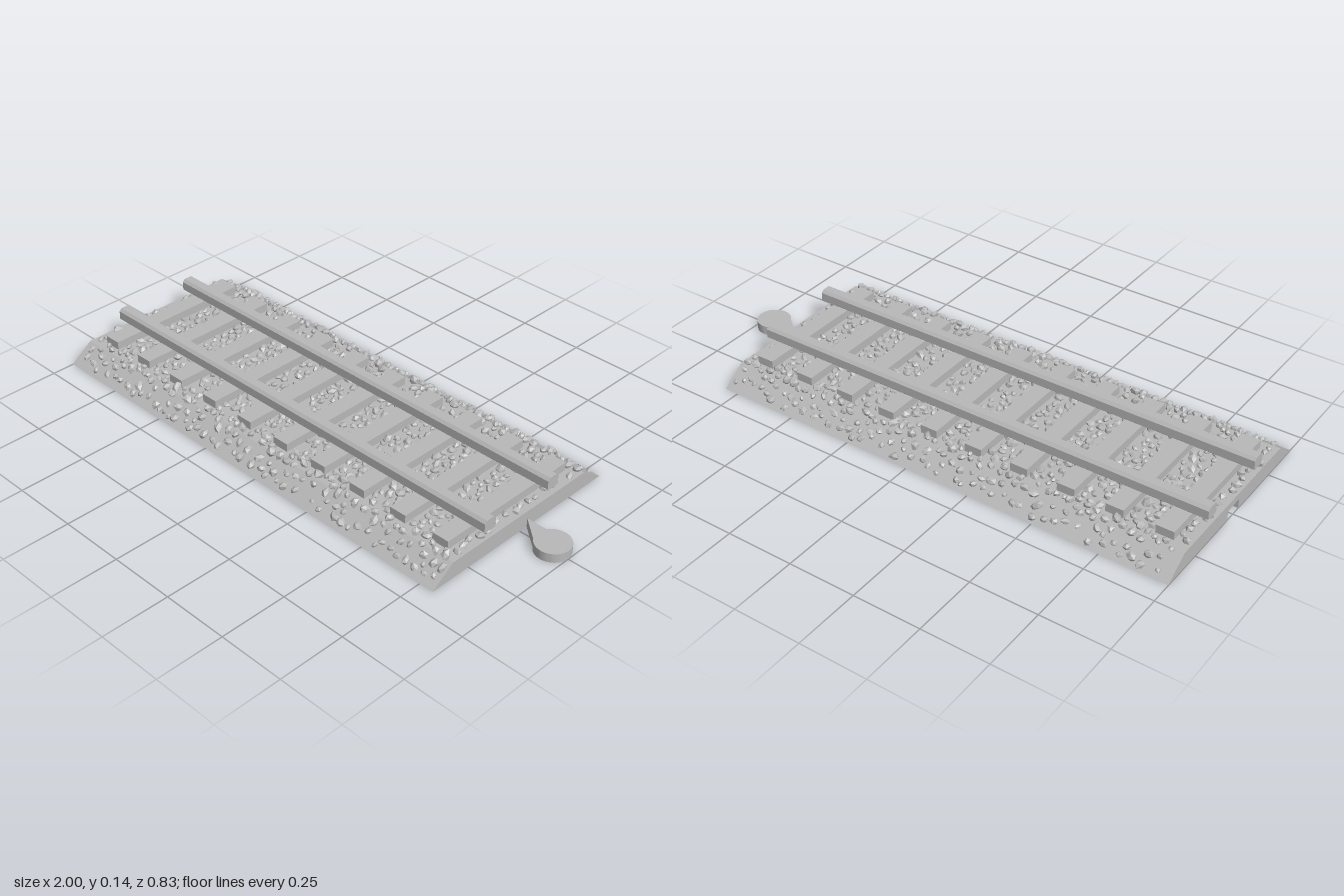
import * as THREE from 'three';
import { mergeGeometries, toCreasedNormals } from 'three/addons/utils/BufferGeometryUtils.js';

const X0 = -1, X1 = 0.805;            // ends of the track bed
const BASE = 0.008, TOP = 0.071;      // bed underside and deck
const HALF_BASE = 0.415, HALF_TOP = 0.325;
const SLEEPERS = 10, PITCH = 0.181, FIRST = -0.91, SLEEPER_W = 0.066, SLEEPER_HALF = 0.29;

// Half width of the sloping bed at height y
const halfWidth = (y) => HALF_BASE + (HALF_TOP - HALF_BASE) * (y - BASE) / (TOP - BASE);

// Small seeded random generator
function makeRandom(seed) {
  return () => {
    seed = (seed * 1664525 + 1013904223) % 4294967296;
    return seed / 4294967296;
  };
}

// Raise a plan shape (x, -z) into a slab between two heights
function slab(shape, y0, y1) {
  const g = new THREE.ExtrudeGeometry(shape, { depth: y1 - y0, bevelEnabled: false, curveSegments: 20 });
  g.rotateX(-Math.PI / 2);
  g.translate(0, y0, 0);
  return g;
}

// Bed layer: outer long edges lean in with height, with an optional socket in the end
function bedLayer(y0, y1, socket) {
  const s = new THREE.Shape();
  s.moveTo(X0, -HALF_BASE);
  s.lineTo(X1, -HALF_BASE);
  s.lineTo(X1, HALF_BASE);
  s.lineTo(X0, HALF_BASE);
  if (socket) {
    const r = 0.068, neck = 0.037, a = Math.PI - Math.asin(neck / r);
    s.lineTo(X0, neck);
    s.absarc(X0 + 0.132, 0, r, a, -a, true);
    s.lineTo(X0, -neck);
  }
  s.closePath();
  const g = slab(s, y0, y1);
  const p = g.attributes.position;
  for (let i = 0; i < p.count; i++) {
    if (Math.abs(p.getZ(i)) > 0.4) p.setZ(i, Math.sign(p.getZ(i)) * halfWidth(p.getY(i)));
  }
  return toCreasedNormals(g, 0.5);
}

// Round tongue that fits the socket of the next section
function tongue() {
  const r = 0.063, neck = 0.033, a = Math.PI - Math.asin(neck / r);
  const s = new THREE.Shape();
  s.moveTo(X1, -neck);
  s.absarc(X1 + 0.132, 0, r, -a, a, false);
  s.lineTo(X1, neck);
  s.closePath();
  return toCreasedNormals(slab(s, BASE, 0.042), 0.5);
}

// Rail bar with chamfered top edges
function railGeometry() {
  const w = 0.026, y0 = 0.102, y1 = 0.147, c = 0.01;
  const s = new THREE.Shape([
    [-w, y0 + 0.003], [-w + 0.003, y0], [w - 0.003, y0], [w, y0 + 0.003],
    [w, y1 - c], [w - c, y1], [-w + c, y1], [-w, y1 - c],
  ].map(([x, y]) => new THREE.Vector2(x, y)));
  const g = new THREE.ExtrudeGeometry(s, { depth: X1 - X0, bevelEnabled: false });
  g.rotateY(Math.PI / 2);
  g.translate(X0, 0, 0);
  return g;
}

// Scattered stones on the deck between sleepers and down both slopes
function ballastGeometry() {
  const random = makeRandom(4711);
  const placed = [], stones = [];
  const m = new THREE.Matrix4(), q = new THREE.Quaternion(), e = new THREE.Euler();
  for (let n = 0; n < 9000; n++) {
    const x = X0 + 0.02 + random() * (X1 - X0 - 0.04);
    const z = (random() * 2 - 1) * 0.398;
    const r = 0.011 + random() * 0.008;
    const az = Math.abs(z);
    const k = Math.round((x - FIRST) / PITCH);
    const dx = Math.abs(x - FIRST - k * PITCH);
    const onSleeper = k >= 0 && k < SLEEPERS && dx < SLEEPER_W / 2 + r * 0.7 && az < SLEEPER_HALF + r * 0.7;
    if (onSleeper) continue;
    // stones thin out towards the foot of the slope
    if (az > 0.35 && random() < 0.45) continue;
    if (placed.some((p) => Math.hypot(p.x - x, p.z - z) < (p.r + r) * 0.88)) continue;
    placed.push({ x, z, r });

    const slope = (HALF_BASE - az) / (HALF_BASE - HALF_TOP);
    const ground = az < HALF_TOP ? TOP : BASE + (TOP - BASE) * slope;
    const lift = az > SLEEPER_HALF && az < 0.345 ? r * 0.45 : r * 0.15;
    const g = new THREE.IcosahedronGeometry(1, 0);
    // roughen each stone: the same corner always moves the same way
    const rough = new Map(), pos = g.attributes.position;
    for (let i = 0; i < pos.count; i++) {
      const key = [pos.getX(i), pos.getY(i), pos.getZ(i)].map((v) => Math.round(v * 100)).join();
      if (!rough.has(key)) rough.set(key, 0.8 + random() * 0.4);
      const f = rough.get(key);
      pos.setXYZ(i, pos.getX(i) * f, pos.getY(i) * f, pos.getZ(i) * f);
    }
    q.setFromEuler(e.set(random() * 0.6, random() * 6.28, random() * 0.6));
    m.compose(
      new THREE.Vector3(x, ground + lift, z), q,
      new THREE.Vector3(r * (0.95 + random() * 0.35), r * 0.85, r * (0.75 + random() * 0.3)),
    );
    g.applyMatrix4(m);
    stones.push(g);
  }
  const merged = mergeGeometries(stones);
  merged.computeVertexNormals();
  return merged;
}

export function createModel() {
  const model = new THREE.Group();
  model.name = 'trackSection';
  const grey = new THREE.MeshStandardMaterial({ color: 0xb8b8b8 });
  grey.name = 'grey';

  const add = (name, geometry, parent = model) => {
    const mesh = new THREE.Mesh(geometry, grey);
    mesh.name = name;
    parent.add(mesh);
    return mesh;
  };

  // Bed: lower layer holds the blind socket, upper layer closes it
  add('lowerBed', bedLayer(BASE, 0.045, true));
  add('upperBed', bedLayer(0.045, TOP, false));
  add('connectorTongue', tongue());

  // Sleepers
  const sleepers = new THREE.Group();
  sleepers.name = 'sleepers';
  model.add(sleepers);
  const sleeper = new THREE.BoxGeometry(SLEEPER_W, 0.036, SLEEPER_HALF * 2);
  for (let i = 0; i < SLEEPERS; i++) {
    add('sleeper', sleeper, sleepers).position.set(FIRST + i * PITCH, 0.084, 0);
  }

  // Rails
  const rail = railGeometry();
  add('frontRail', rail).position.z = 0.155;
  add('backRail', rail).position.z = -0.155;

  add('ballast', ballastGeometry());
  return model;
}
